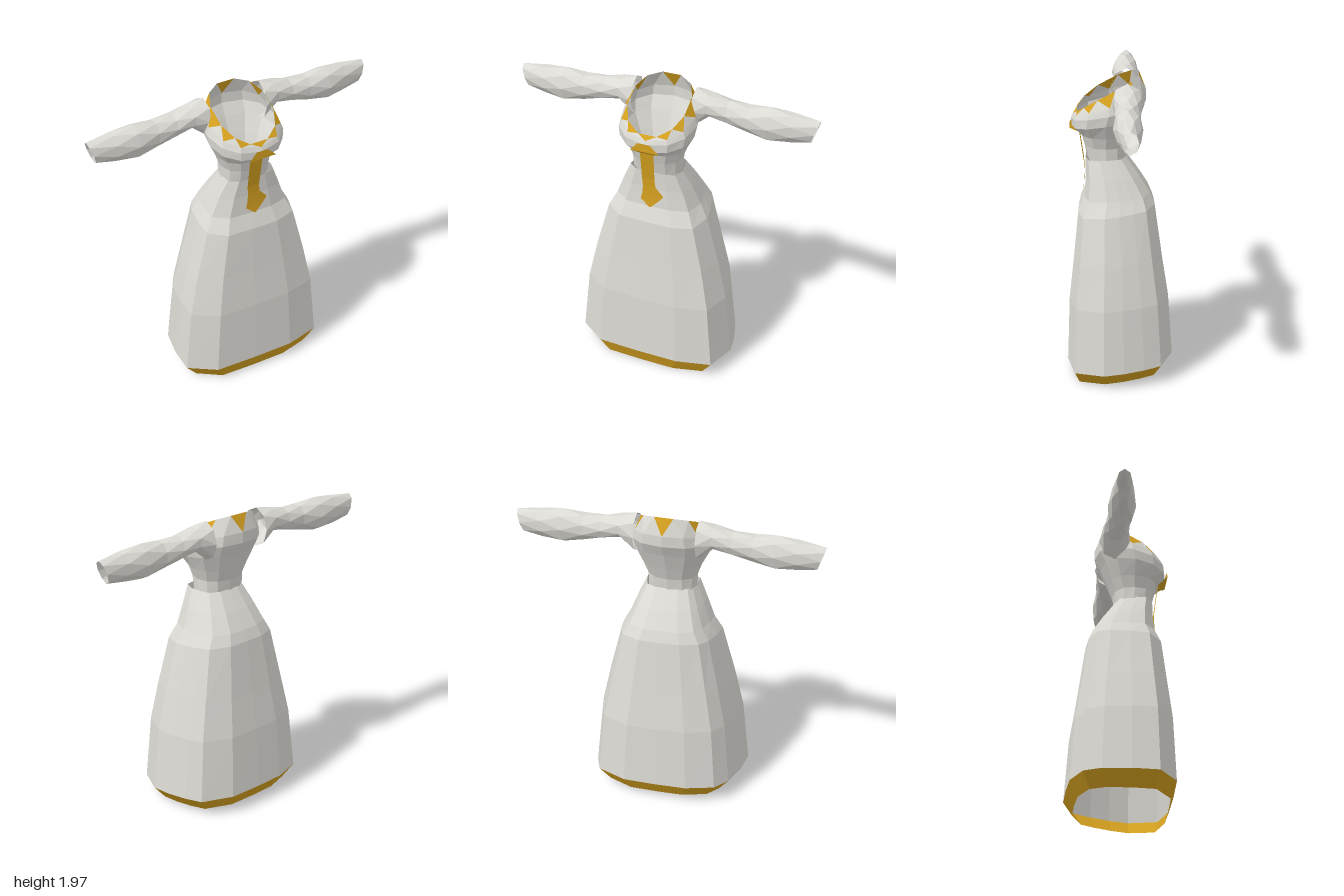
import * as THREE from 'three';

const mat = (name, color) => {
  const m = new THREE.MeshStandardMaterial({ color, flatShading: true, side: THREE.DoubleSide });
  m.name = name;
  return m;
};

// Mesh from a list of triangles, each given as three Vector3 corners
function triMesh(name, tris, material) {
  const g = new THREE.BufferGeometry().setFromPoints(tris.flat());
  g.computeVertexNormals();
  const mesh = new THREE.Mesh(g, material);
  mesh.name = name;
  return mesh;
}

// Closed band between two rings; up = triangles standing on ring a, down = hanging from ring b.
// shift is 1 where b starts half a step behind a, so the facets form a zigzag.
function band(a, b, shift = 0) {
  const n = a.length, up = [], down = [];
  for (let i = 0; i < n; i++) {
    const j = (i + 1) % n;
    up.push([a[i], a[j], b[j]]);
    down.push(shift ? [a[i], b[j], b[i]] : [a[i], b[j], b[i]]);
  }
  return { up, down };
}

function loft(rings, shifts = []) {
  const tris = [];
  for (let i = 0; i + 1 < rings.length; i++) {
    const { up, down } = band(rings[i], rings[i + 1], shifts[i]);
    tris.push(...up, ...down);
  }
  return tris;
}

// Skirt outline at the hem (x, z); every skirt ring is a scaled copy
const HEM = [[-0.33, 0.32], [-0.05, 0.335], [0.23, 0.34], [0.46, 0.29], [0.53, 0.1], [0.51, -0.03],
  [0.47, -0.16], [0.42, -0.27], [0.22, -0.35], [0, -0.345], [-0.2, -0.33], [-0.38, -0.26],
  [-0.45, -0.15], [-0.49, 0.03], [-0.5, 0.2]];

function skirtRing([y, hw, zf, zb, lift = 0]) {
  return HEM.map(([x, z]) => {
    const t = (z + 0.35) / 0.69;
    return new THREE.Vector3(0.015 + ((x - 0.015) / 0.515) * hw, y + lift * (1 - t), zb + (zf - zb) * t);
  });
}

// Bodice ring that rises from front height yf to back height yb
const N = 12;
function bodiceRing([hw, zf, zb, yf, yb], half) {
  const pw = (v) => Math.sign(v) * Math.abs(v) ** 0.85;
  return Array.from({ length: N }, (_, i) => {
    const a = ((i - half) / N) * Math.PI * 2;
    const z = (zf + zb) / 2 + (pw(Math.cos(a)) * (zf - zb)) / 2;
    const t = Math.min(1, Math.max(0, (zf - z) / (zf - zb)));
    return new THREE.Vector3(0.005 + pw(Math.sin(a)) * hw, yf + (yb - yf) * t ** 0.7, z);
  });
}

// Sleeve ring around the arm, slanted at the cuff
function sleeveRing([x, lo, hi, zc, rz, slant = 0], half, side) {
  return Array.from({ length: 8 }, (_, i) => {
    const a = ((i - half) / 8) * Math.PI * 2;
    const c = Math.cos(a);
    return new THREE.Vector3(side * (x + slant * c), (lo + hi) / 2 + (c * (hi - lo)) / 2, zc + Math.sin(a) * rz);
  });
}

export function createModel() {
  const cloth = mat('paleCloth', 0xdcdad4);
  const gold = mat('goldTrim', 0xd4a01f);
  const model = new THREE.Group();
  model.name = 'dress';

  // Skirt and hem
  const skirt = [
    [0.1, 0.515, 0.345, -0.34, 0.035],
    [0.53, 0.47, 0.33, -0.31, 0.02],
    [0.8, 0.41, 0.3, -0.27],
    [1.1, 0.325, 0.27, -0.22, 0.05],
    [1.2, 0.275, 0.23, -0.19, 0.02],
    [1.33, 0.225, 0.22, -0.12],
    [1.45, 0.17, 0.22, -0.035],
  ].map(skirtRing);
  model.add(triMesh('skirt', loft(skirt), cloth));
  const hemBottom = skirtRing([0.005, 0.435, 0.31, -0.285, 0.035]);
  model.add(triMesh('hem', loft([hemBottom, skirt[0]]), gold));

  // Bodice: waist, bust and yoke
  const bodice = [
    [0.16, 0.21, -0.035, 1.43, 1.43],
    [0.162, 0.23, -0.045, 1.52, 1.52],
    [0.19, 0.25, -0.075, 1.59, 1.6],
    [0.24, 0.31, -0.125, 1.64, 1.72],
    [0.25, 0.312, -0.165, 1.69, 1.8],
    [0.235, 0.3, -0.165, 1.715, 1.87],
  ].map((r) => bodiceRing(r, 0));
  const neck = bodiceRing([0.195, 0.28, -0.125, 1.73, 1.98], 0.5);
  const yoke = band(bodice[5], neck, 1);
  const plain = (i) => i === 5 || i === 7;
  model.add(triMesh('bodice', [...loft(bodice), ...yoke.up, ...yoke.down.filter((_, i) => plain(i))], cloth));

  // Gold points hanging from the neckline
  model.add(triMesh('necklineTrim', yoke.down.filter((_, i) => !plain(i)), gold));

  // Front tab: bow at the bust, straight strip, arrow tip (y, left x, right x, z)
  const tab = [[1.7, -0.04, 0.04, 0.318], [1.645, -0.09, 0.1, 0.32], [1.6, -0.05, 0.04, 0.26],
    [1.4, -0.05, 0.035, 0.232], [1.35, -0.045, 0.04, 0.23], [1.29, -0.05, 0.095, 0.231],
    [1.25, -0.06, 0.06, 0.233], [1.2, 0, 0.01, 0.238]];
  const tabTris = [];
  for (let i = 0; i + 1 < tab.length; i++) {
    const [p, q] = [tab[i], tab[i + 1]];
    const v = (r, k) => new THREE.Vector3(r[k], r[0], r[3]);
    tabTris.push([v(p, 1), v(q, 1), v(q, 2)], [v(p, 1), v(q, 2), v(p, 2)]);
  }
  model.add(triMesh('frontTab', tabTris, gold));

  // Sleeves, with alternate rings turned half a step for a faceted drape
  const arm = [
    [0.2, 1.7, 1.955, -0.045, 0.105],
    [0.3, 1.785, 1.935, -0.045, 0.09],
    [0.42, 1.76, 1.91, -0.045, 0.08],
    [0.55, 1.73, 1.905, -0.04, 0.08],
    [0.69, 1.695, 1.92, -0.04, 0.09],
    [0.83, 1.715, 1.905, -0.045, 0.075],
    [0.975, 1.73, 1.885, -0.05, 0.05, 0.025],
  ];
  for (const [name, side] of [['leftSleeve', 1], ['rightSleeve', -1]]) {
    const rings = arm.map((r, i) => sleeveRing(r, i % 2 ? 0.5 : 0, side));
    // Re-index so the half-step zigzag does not drift around the arm
    const tris = [];
    for (let i = 0; i + 1 < rings.length; i++) {
      const [a, b] = i % 2 ? [rings[i + 1], rings[i]] : [rings[i], rings[i + 1]];
      const { up, down } = band(a, b, 1);
      const flip = (i % 2 === 1) !== (side < 0);
      tris.push(...[...up, ...down].map((t) => (flip ? [t[0], t[2], t[1]] : t)));
    }
    model.add(triMesh(name, tris, cloth));
  }
  return model;
}
